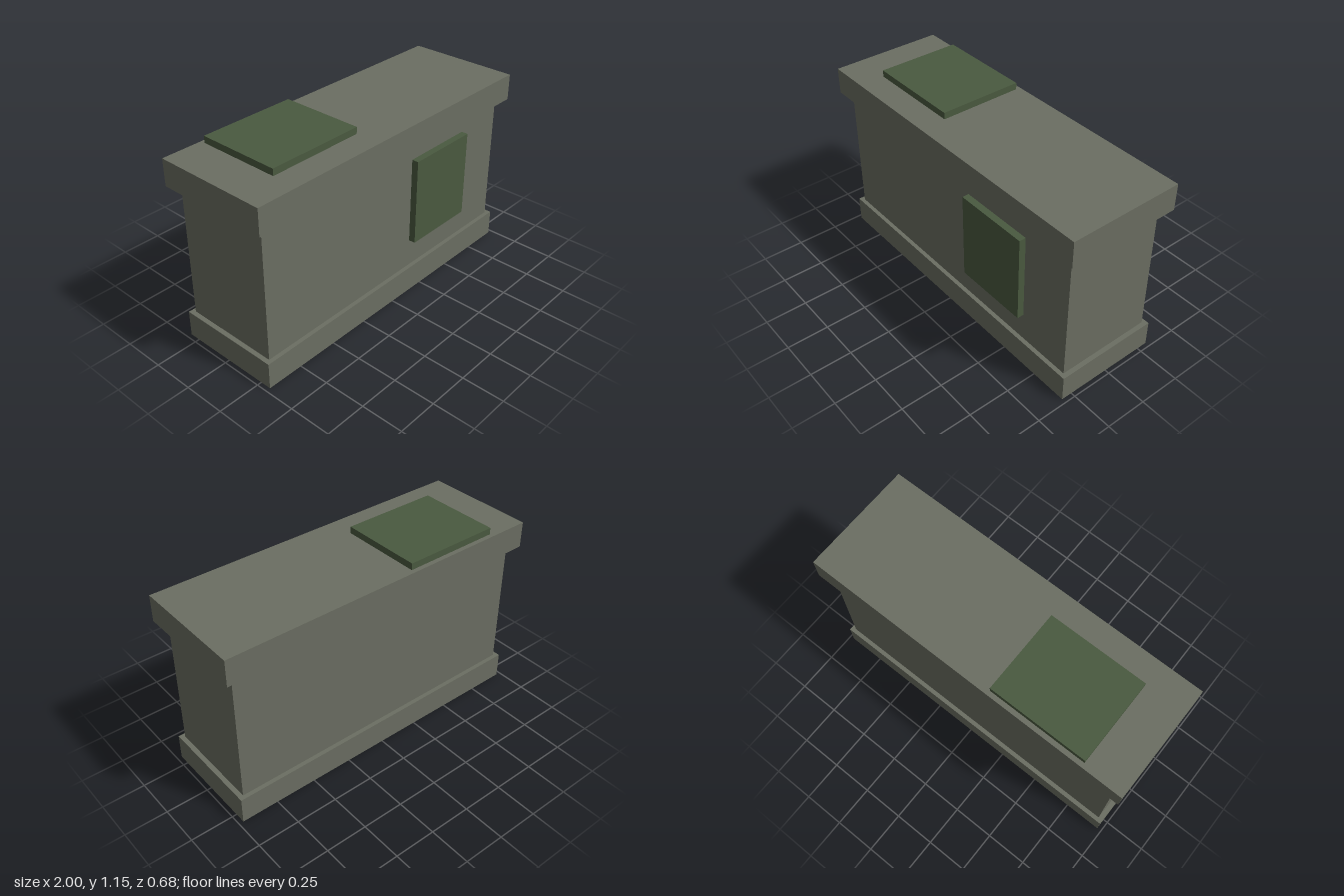
import * as THREE from 'three';

export function createModel() {
  const model = new THREE.Group();
  const stone = new THREE.MeshStandardMaterial({ name: 'stone', color: 0x6b6e62 });
  const moss = new THREE.MeshStandardMaterial({ name: 'moss', color: 0x4a5a40 });

  // Adds a box given its extents along each axis
  function block(name, material, [x0, x1], [y0, y1], [z0, z1]) {
    const mesh = new THREE.Mesh(new THREE.BoxGeometry(x1 - x0, y1 - y0, z1 - z0), material);
    mesh.name = name;
    mesh.position.set((x0 + x1) / 2, (y0 + y1) / 2, (z0 + z1) / 2);
    model.add(mesh);
  }

  // Stone wall: plinth, body and overhanging cap
  block('plinth', stone, [-0.973, 0.973], [0, 0.158], [-0.315, 0.315]);
  block('wallBody', stone, [-0.945, 0.945], [0.158, 0.95], [-0.29, 0.29]);
  block('capStone', stone, [-1, 1], [0.95, 1.107], [-0.342, 0.342]);

  // Moss patches on the cap and the front face
  block('topMossPatch', moss, [-0.757, -0.17], [1.107, 1.147], [-0.315, 0.185]);
  block('frontMossPatch', moss, [0.167, 0.622], [0.33, 0.857], [0.29, 0.33]);

  return model;
}
